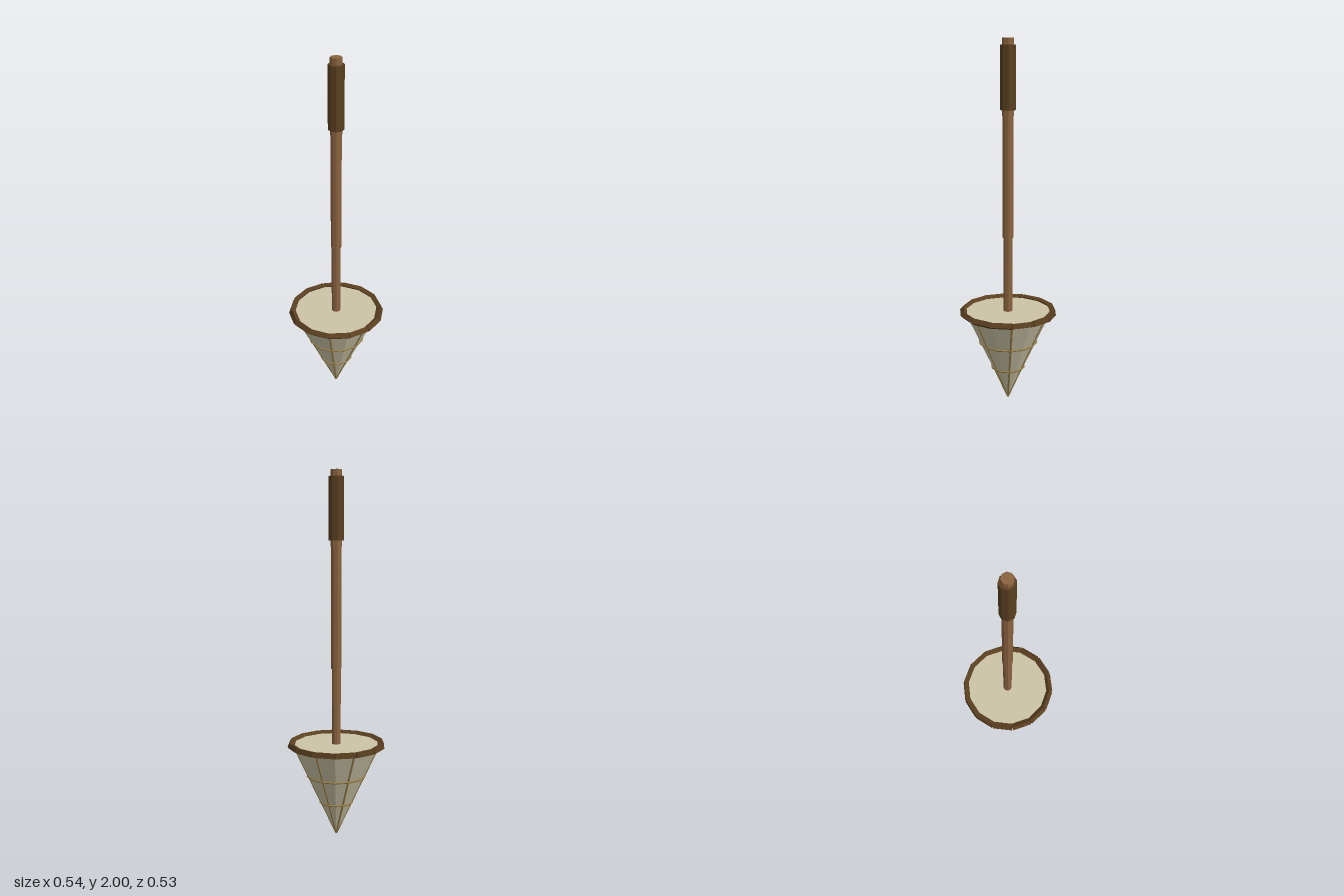
import * as THREE from 'three';

const material = (name, color) => {
  const m = new THREE.MeshStandardMaterial({ color, flatShading: true });
  m.name = name;
  return m;
};

export function createModel() {
  const model = new THREE.Group();
  model.name = 'coneOnPole';
  const wood = material('wood', 0x8b6340);
  const darkWood = material('darkWood', 0x5a3f20);
  const cloth = material('cloth', 0xcbc4a6);
  const cane = material('cane', 0x97804c);

  const SIDES = 14, STEP = (Math.PI * 2) / SIDES;
  const TOP = 0.52, RADIUS = 0.24;

  const add = (name, geometry, mat, parent = model) => {
    const mesh = new THREE.Mesh(geometry, mat);
    mesh.name = name;
    parent.add(mesh);
    return mesh;
  };
  const post = (name, y0, y1, r0, r1, mat) => {
    add(name, new THREE.CylinderGeometry(r1, r0, y1 - y0, 8), mat).position.y = (y0 + y1) / 2;
  };

  // Faceted cone standing on its tip, closed on top
  const cone = new THREE.CylinderGeometry(RADIUS, 0.001, TOP, SIDES);
  cone.rotateY(Math.PI / 2);
  add('cone', cone, cloth).position.y = TOP / 2;

  // Rim of straight bars, rolled gradually from back to front
  const rim = new THREE.Group();
  rim.name = 'rim';
  model.add(rim);
  for (let i = 0; i < SIDES; i++) {
    const a = (i + 0.5) * STEP;
    const bar = new THREE.BoxGeometry(0.028, 0.028, 0.113);
    bar.rotateZ(THREE.MathUtils.degToRad(27 + 18 * Math.sin(a)));
    bar.translate(0.246, 0, 0);
    bar.rotateY(-a);
    add('rimBar', bar, darkWood, rim).position.y = 0.517;
  }

  // Ribs along every second corner of the cone
  const up = new THREE.Vector3(0, 1, 0);
  for (let i = 0; i < SIDES; i += 2) {
    const a = i * STEP;
    const end = new THREE.Vector3(Math.cos(a) * RADIUS, TOP, Math.sin(a) * RADIUS);
    const rib = add('rib', new THREE.CylinderGeometry(0.006, 0.006, end.length(), 6), cane);
    rib.position.copy(end).multiplyScalar(0.5);
    rib.position.y += 0.003;
    rib.quaternion.setFromUnitVectors(up, end.normalize());
  }

  // Hoops around the cone
  for (const y of [0.19, 0.342]) {
    const hoop = new THREE.TorusGeometry((y / TOP) * RADIUS + 0.003, 0.006, 6, SIDES);
    hoop.rotateX(Math.PI / 2);
    add('hoop', hoop, cane).position.y = y;
  }

  // Stepped pole and grip
  post('lowerPole', 0.5, 0.96, 0.025, 0.025, wood);
  post('middlePole', 0.94, 1.63, 0.029, 0.029, wood);
  post('upperPole', 1.6, 2, 0.031, 0.031, wood);
  post('grip', 1.63, 1.965, 0.042, 0.042, darkWood);

  return model;
}
